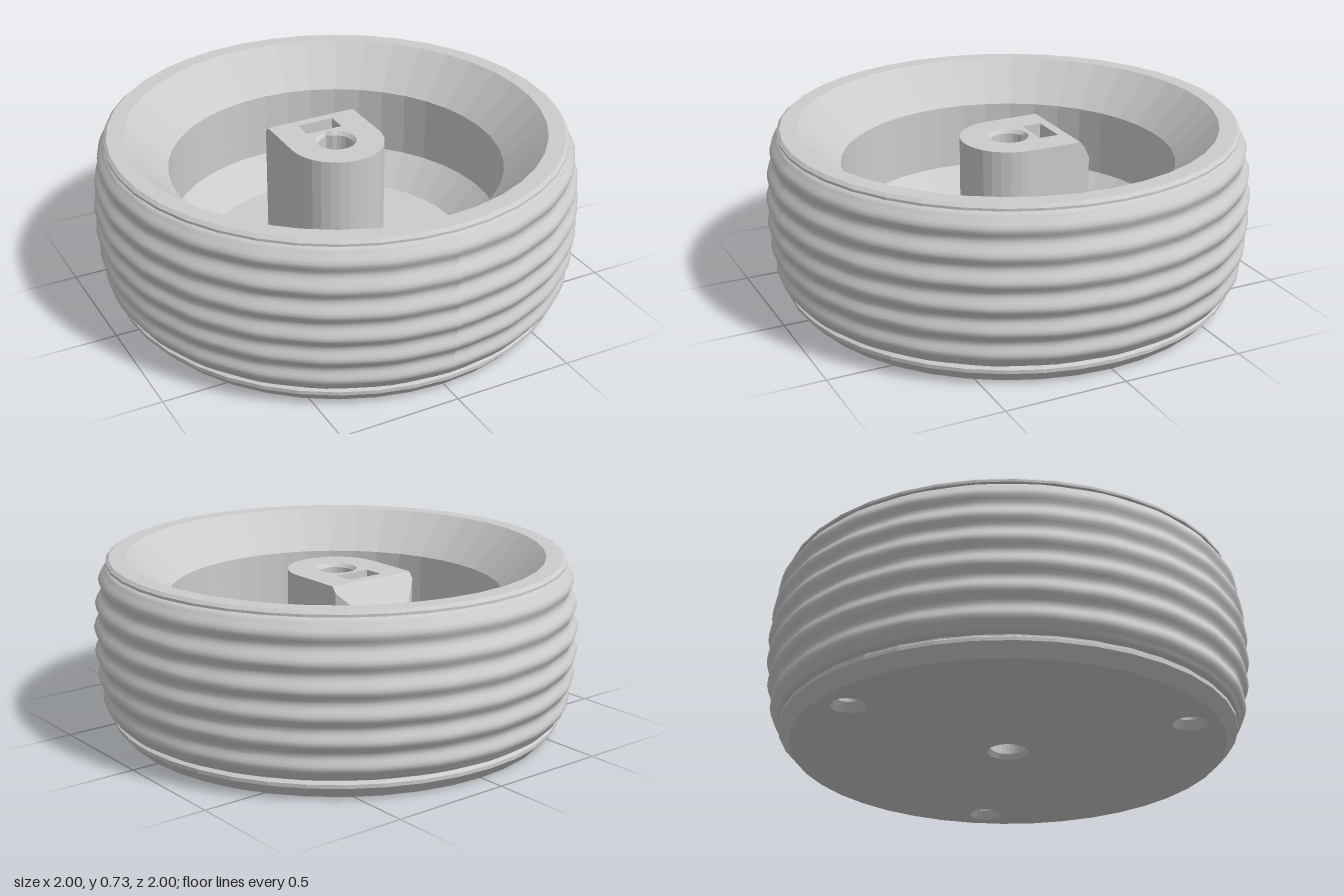
import * as THREE from 'three';

const FLOOR = 0.15, HUB_TOP = 0.65;
const flat = new THREE.MeshStandardMaterial({ color: 0xcccccc, flatShading: true, side: THREE.DoubleSide });
const smooth = new THREE.MeshStandardMaterial({ color: 0xcccccc, side: THREE.DoubleSide });

const v2 = (x, y) => new THREE.Vector2(x, y);

function add(parent, name, geometry, material = flat) {
  const mesh = new THREE.Mesh(geometry, material);
  mesh.name = name;
  parent.add(mesh);
  return mesh;
}

// Ring of points in plan (x, z)
function ring(r, n = 24, cx = 0, cz = 0) {
  return Array.from({ length: n }, (_, i) => {
    const a = (i / n) * Math.PI * 2;
    return v2(cx + r * Math.cos(a), cz + r * Math.sin(a));
  });
}

// Wall between two matching plan outlines; heights are numbers or functions of z
function loft(low, y0, high, y1, closed = true) {
  const at = (p, y) => [p.x, typeof y === 'function' ? y(p.y) : y, p.y];
  const pos = [];
  const n = low.length;
  for (let i = 0; i < (closed ? n : n - 1); i++) {
    const j = (i + 1) % n;
    const a = at(low[i], y0), b = at(low[j], y0), c = at(high[j], y1), d = at(high[i], y1);
    pos.push(...a, ...c, ...b, ...a, ...d, ...c);
  }
  const g = new THREE.BufferGeometry();
  g.setAttribute('position', new THREE.Float32BufferAttribute(pos, 3));
  g.computeVertexNormals();
  return g;
}

// Flat plate in plan with holes
function plate(outline, y, holes = []) {
  const s = new THREE.Shape(outline);
  s.holes = holes.map((h) => new THREE.Path(h));
  return new THREE.ShapeGeometry(s).rotateX(Math.PI / 2).translate(0, y, 0);
}

// Ribbed tyre: crowned profile with six ribs and a faint ripple around
function makeTyre(root) {
  const rows = 48, profile = [v2(0.915, 0.08)];
  for (let i = 0; i <= rows; i++) {
    const u = (i / rows) * 2 - 1;
    const rib = -0.011 * Math.cos((i / rows) * 6 * Math.PI * 2);
    profile.push(v2(0.95 + 0.038 * (1 - u * u) + rib, 0.39 + u * 0.305));
  }
  profile.push(v2(0.915, 0.7));
  const g = new THREE.LatheGeometry(profile, 96);
  const p = g.attributes.position;
  for (let i = 0; i < p.count; i++) {
    const x = p.getX(i), z = p.getZ(i);
    const k = 1 + 0.002 * Math.cos(24 * Math.atan2(z, x));
    p.setX(i, x * k / 1.001);
    p.setZ(i, z * k / 1.001);
  }
  g.computeVertexNormals();
  add(root, 'tyre', g, smooth);
}

// Dished rim with a closed underside and three countersunk holes
function makeRim(root, bore) {
  const rim = new THREE.Group();
  rim.name = 'rim';
  root.add(rim);
  const profile = [
    [0.89, 0], [0.935, 0.05], [0.935, 0.065], [0.92, 0.075], [0.92, 0.7],
    [0.943, 0.703], [0.943, 0.713], [0.93, 0.725], [0.86, 0.725],
    [0.69, 0.56], [0.69, 0.275], [0.56, FLOOR], [0.1, FLOOR],
  ].map(([r, y]) => v2(r, y));
  add(rim, 'rimDish', new THREE.LatheGeometry(profile, 40));

  const holes = [];
  for (const deg of [30, 150, 270]) {
    const a = THREE.MathUtils.degToRad(deg);
    const x = 0.77 * Math.cos(a), z = 0.77 * Math.sin(a);
    const mouth = ring(0.07, 20, x, z), shank = ring(0.045, 20, x, z);
    holes.push(mouth);
    add(rim, 'countersink', loft(mouth, 0, shank, 0.035));
    add(rim, 'screwHole', loft(shank, 0.035, shank, 0.25));
    add(rim, 'screwHoleEnd', plate(shank, 0.25));
  }
  const mouth = ring(0.085, 24);
  add(rim, 'underside', plate(ring(0.89, 40), 0, [...holes, mouth]));
  add(rim, 'boreChamfer', loft(mouth, 0, bore, 0.02));
}

// Hub with axle bore, nut slot, sloped back and a set screw hole
function makeHub(root, bore) {
  const hub = new THREE.Group();
  hub.name = 'hub';
  root.add(hub);
  const arc = (r) => Array.from({ length: 17 }, (_, i) => {
    const a = (i / 16) * Math.PI;
    return v2(r * Math.cos(a), r * Math.sin(a));
  });
  const topY = (z) => HUB_TOP - Math.max(0, -0.23 - z) * 1.25;
  const right = [v2(0.13, -0.31), v2(0.2, -0.25), v2(0.2, -0.23)];
  const left = right.map((p) => v2(-p.x, p.y)).reverse();
  const outline = [...right, ...arc(0.2), ...left];
  add(hub, 'hubWall', loft(outline, FLOOR, outline, topY, false));

  const mouth = ring(0.085, 24);
  const slot = [v2(-0.08, -0.19), v2(0.08, -0.19), v2(0.08, -0.105), v2(-0.08, -0.105)];
  add(hub, 'hubTop', plate(outline.filter((p) => p.y > -0.24), HUB_TOP, [mouth, slot]));
  add(hub, 'boreRim', loft(bore, HUB_TOP - 0.015, mouth, HUB_TOP));
  add(hub, 'axleBore', loft(bore, 0.02, bore, HUB_TOP - 0.015));
  add(hub, 'nutSlot', loft(slot, 0.4, slot, HUB_TOP));
  add(hub, 'nutSlotFloor', plate(slot, 0.4));

  // Sloped face running down to the back
  const slope = plate([...right, ...left], 0);
  const p = slope.attributes.position;
  for (let i = 0; i < p.count; i++) p.setY(i, topY(p.getZ(i)));
  slope.computeVertexNormals();
  add(hub, 'hubSlope', slope);

  // Back face pierced by the set screw hole
  const back = new THREE.Shape([v2(-0.13, FLOOR), v2(0.13, FLOOR), v2(0.13, 0.55), v2(-0.13, 0.55)]);
  back.holes.push(new THREE.Path(ring(0.06, 20, 0, 0.48)));
  add(hub, 'hubBack', new THREE.ShapeGeometry(back).translate(0, 0, -0.31));
  const tube = new THREE.CylinderGeometry(0.06, 0.06, 0.12, 20, 1, true).rotateX(Math.PI / 2);
  add(hub, 'setScrewHole', tube.translate(0, 0.48, -0.25));

  // Low skirt around the foot, with a tongue under the set screw
  const side = [v2(0.075, -0.38), v2(0.075, -0.335), v2(0.13, -0.315), v2(0.203, -0.25)];
  const skirt = new THREE.Shape([...side, ...arc(0.203), ...side.map((q) => v2(-q.x, q.y)).reverse()]);
  skirt.holes.push(new THREE.Path(ring(0.12, 24)));
  const g = new THREE.ExtrudeGeometry(skirt, {
    depth: 0.015, bevelSize: 0.012, bevelThickness: 0.012, bevelSegments: 1,
  }).rotateX(Math.PI / 2);
  add(hub, 'hubSkirt', g.translate(0, FLOOR + 0.018, 0));
}

export function createModel() {
  const root = new THREE.Group();
  root.name = 'wheel';
  // Teardrop bore, pointed toward the back
  const bore = ring(0.072, 24);
  bore[18].set(0, -0.084);
  makeTyre(root);
  makeRim(root, bore);
  makeHub(root, bore);
  return root;
}
